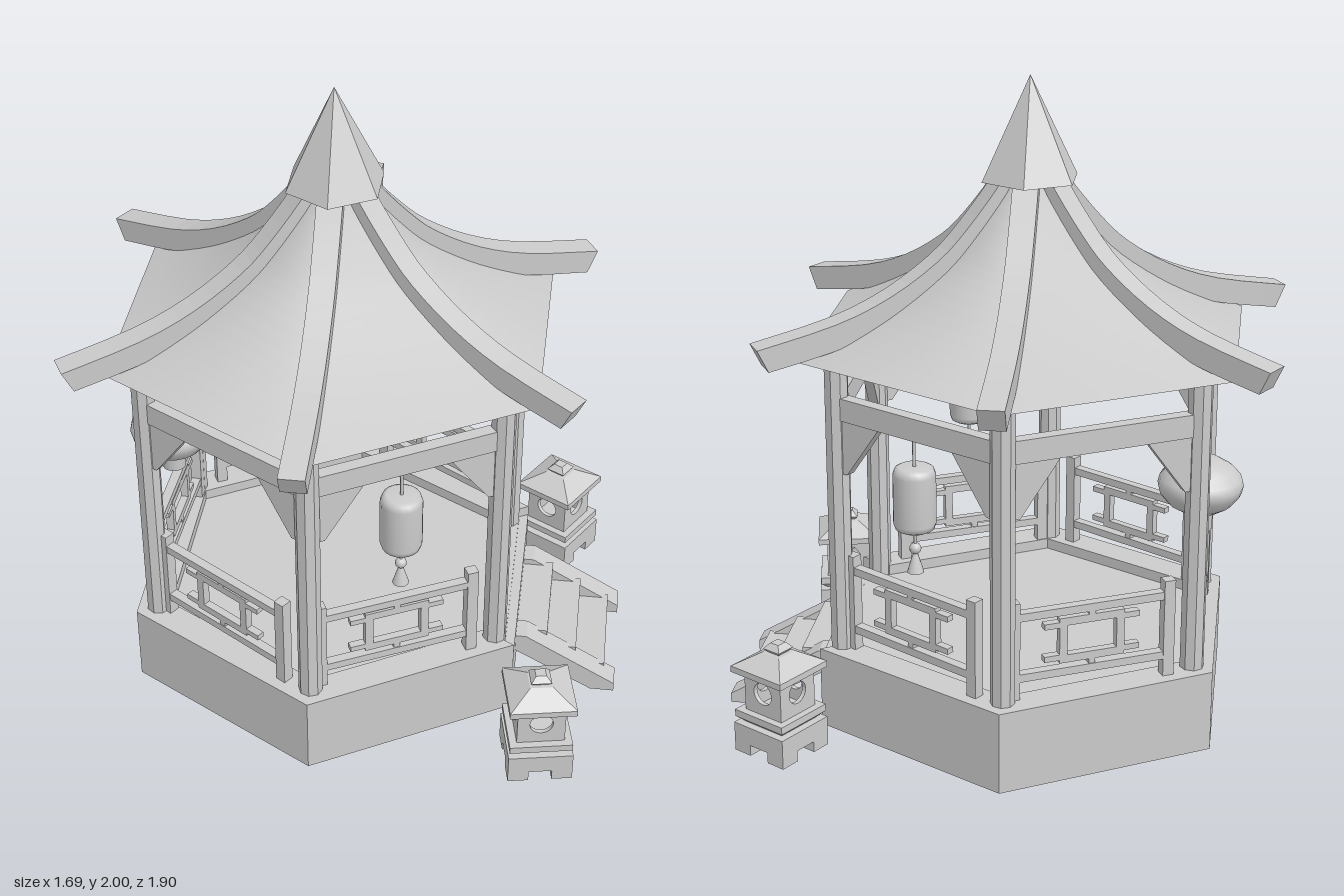
import * as THREE from 'three';

const grey = new THREE.MeshStandardMaterial({ color: 0xcccccc, side: THREE.DoubleSide });
const flat = new THREE.MeshStandardMaterial({ color: 0xcccccc, side: THREE.DoubleSide, flatShading: true });
const DEG = Math.PI / 180, POST_R = 0.62, BASE_R = 0.695, APO = Math.cos(Math.PI / 6);

function add(parent, name, geometry, x = 0, y = 0, z = 0, material = flat) {
  const m = new THREE.Mesh(geometry, material);
  m.name = name;
  m.position.set(x, y, z);
  parent.add(m);
  return m;
}
function group(parent, name, rotY = 0) {
  const g = new THREE.Group();
  g.name = name;
  g.rotation.y = rotY * DEG;
  parent.add(g);
  return g;
}
// Box given by its width, bottom, top and depth
function bar(parent, name, x, y0, y1, z, w, d) {
  return add(parent, name, new THREE.BoxGeometry(w, y1 - y0, d), x, (y0 + y1) / 2, z);
}
const vec = pts => pts.map(p => new THREE.Vector2(p[0], p[1]));
const curve = (pts, n) => new THREE.SplineCurve(vec(pts)).getPoints(n);
// Plate cut from an outline, centred on its thickness
function plate(pts, depth) {
  const shape = pts instanceof THREE.Shape ? pts : new THREE.Shape(vec(pts));
  return new THREE.ExtrudeGeometry(shape, { depth, bevelEnabled: false, curveSegments: 10 }).translate(0, 0, -depth / 2);
}
const lathe = (pts, n = 20) => new THREE.LatheGeometry(vec(pts), n);

// One side of the hexagonal base, mitred at its ends
function baseSide(parent, name, inner, outer, y0, y1) {
  const t = Math.tan(Math.PI / 6);
  const g = plate([[-outer * t, outer], [-inner * t, inner], [inner * t, inner], [outer * t, outer]], y1 - y0);
  add(parent, name, g.rotateX(Math.PI / 2), 0, (y0 + y1) / 2, 0);
}

function railing(parent) {
  const r = group(parent, 'railing', -3);
  const z = POST_R * APO, d = 0.025;
  for (const s of [-1, 1]) {
    bar(r, 'newel', s * 0.245, 0.26, 0.58, z, 0.035, 0.035);
    bar(r, 'frameSide', s * 0.09, 0.365, 0.51, z, 0.025, d);
    for (const y of [0.375, 0.48]) bar(r, 'frameStub', s * 0.125, y, y + 0.018, z, 0.05, d);
  }
  bar(r, 'topRail', 0, 0.52, 0.545, z, 0.52, 0.03);
  bar(r, 'bottomRail', 0, 0.325, 0.35, z, 0.52, 0.03);
  bar(r, 'frameTop', 0, 0.485, 0.51, z, 0.2, d);
  bar(r, 'frameBottom', 0, 0.365, 0.39, z, 0.2, d);
  bar(r, 'upperStrut', 0, 0.505, 0.525, z, 0.02, d);
  bar(r, 'lowerStrut', 0, 0.345, 0.37, z, 0.02, d);
}

function hangingLantern(parent, round) {
  const l = group(parent, round ? 'roundLantern' : 'tubeLantern', -1.5);
  const z = POST_R * APO;
  const cord = (y0, y1) => add(l, 'cord', new THREE.CylinderGeometry(0.005, 0.005, y1 - y0, 6), 0, (y0 + y1) / 2, z, grey);
  if (round) {
    add(l, 'lanternBody', lathe([[0, 0.655], [0.06, 0.66], [0.1, 0.685], [0.127, 0.72], [0.133, 0.745], [0.127, 0.77],
      [0.1, 0.8], [0.06, 0.825], [0, 0.83]]), 0, 0, z, grey);
    add(l, 'lanternNeck', new THREE.CylinderGeometry(0.042, 0.038, 0.07, 16), 0, 0.63, z, grey);
    cord(0.82, 1.03);
  } else {
    add(l, 'lanternBody', lathe([[0, 0.735], [0.045, 0.735], [0.058, 0.742], [0.064, 0.76], [0.064, 0.91],
      [0.058, 0.928], [0.045, 0.935], [0, 0.935]]), 0, 0, z, grey);
    add(l, 'bead', new THREE.SphereGeometry(0.018, 10, 8), 0, 0.675, z, grey);
    add(l, 'tassel', new THREE.CylinderGeometry(0.007, 0.026, 0.06, 10), 0, 0.63, z, grey);
    cord(0.93, 1.03);
    cord(0.65, 0.74);
  }
}

function stoneLantern(parent, x, z, rotY) {
  const l = group(parent, 'stoneLantern', rotY);
  l.position.set(x, 0, z);
  // Square frustum by half-widths
  const frustum = (name, bottom, top, y0, y1) => add(l, name, new THREE.CylinderGeometry(top * Math.SQRT2,
    bottom * Math.SQRT2, y1 - y0, 4).rotateY(Math.PI / 4), 0, (y0 + y1) / 2, 0);
  for (const sx of [-1, 1]) for (const sz of [-1, 1]) bar(l, 'foot', sx * 0.068, 0, 0.036, sz * 0.068, 0.064, 0.064);
  bar(l, 'base', 0, 0.035, 0.095, 0, 0.2, 0.2);
  frustum('plateUnderside', 0.075, 0.097, 0.095, 0.115);
  bar(l, 'plate', 0, 0.115, 0.138, 0, 0.194, 0.194);
  // Light chamber: four walls, each with a round window
  const wall = new THREE.Shape(vec([[-0.074, 0.135], [0.074, 0.135], [0.074, 0.275], [-0.074, 0.275]]));
  wall.holes.push(new THREE.Path().absarc(0, 0.21, 0.036, 0, Math.PI * 2, true));
  const wallGeometry = plate(wall, 0.014).translate(0, 0, 0.067);
  for (let i = 0; i < 4; i++) add(l, 'chamberWall', wallGeometry).rotation.y = i * Math.PI / 2;
  bar(l, 'eave', 0, 0.265, 0.285, 0, 0.205, 0.205);
  frustum('lanternRoof', 0.102, 0.035, 0.285, 0.325);
  frustum('finialLower', 0.022, 0.032, 0.325, 0.337);
  frustum('finialUpper', 0.032, 0.016, 0.337, 0.355);
}

function stairs(parent) {
  const s = group(parent, 'stairs');
  const outline = [[0.6, 0.2], [0.635, 0.2], [0.925, 0.03], [0.925, 0], [0.85, 0], [0.6, 0.14]];
  for (const side of [-1, 1]) {
    add(s, 'stringer', plate(outline, 0.075), side * 0.19).rotation.y = -Math.PI / 2;
  }
  for (let i = 0; i < 3; i++) {
    const top = 0.18 - i * 0.06;
    bar(s, 'tread', 0, top - 0.055, top, 0.65 + i * 0.095, 0.34, 0.1);
  }
}

export function createModel() {
  const model = new THREE.Group();
  model.name = 'gardenPavilion';
  const pavilion = group(model, 'pavilion', 3.5);
  pavilion.position.set(-0.053, 0, -0.083);

  // Floor
  add(pavilion, 'floor', new THREE.CylinderGeometry(0.66, 0.66, 0.02, 6), 0, 0.225, 0);

  // Six sides; the first is the entrance
  const wallOut = BASE_R * APO;
  const bracket = [[0.285, 1.03], [0.13, 1.03], [0.262, 0.85], [0.285, 0.85]];
  for (let i = 0; i < 6; i++) {
    const side = group(pavilion, i ? 'side' : 'entranceSide', 30 + 60 * i);
    baseSide(side, 'baseWall', wallOut - 0.03, wallOut, 0.01, 0.235);
    if (i) {
      baseSide(side, 'baseRim', wallOut - 0.1, wallOut, 0.235, 0.27);
      railing(side);
    }
    const z = POST_R * APO;
    bar(side, 'lintel', 0, 1.02, 1.09, z, 0.6, 0.04);
    bar(side, 'topBeam', 0, 1.19, 1.23, z, 0.62, 0.04);
    for (const s of [-1, 1]) {
      add(side, 'bracket', plate(bracket.map(p => [p[0] * s, p[1]]), 0.03), 0, 0, z);
    }
    if (i === 0) stairs(side);
    if (i === 1 || i === 5) hangingLantern(side, false);
    if (i === 3) hangingLantern(side, true);
  }

  // Posts and curved roof ribs at the corners
  const ribTop = curve([[0.07, 1.76], [0.12, 1.68], [0.22, 1.56], [0.31, 1.475], [0.455, 1.385], [0.625, 1.32], [0.868, 1.27]], 18);
  const ribBottom = curve([[0.835, 1.2], [0.61, 1.245], [0.43, 1.315], [0.27, 1.415], [0.17, 1.52], [0.07, 1.64]], 18);
  const ribGeometry = plate(new THREE.Shape([...ribTop, ...ribBottom]), 0.077).rotateY(-Math.PI / 2);
  for (let i = 0; i < 6; i++) {
    const corner = group(pavilion, 'corner', 60 * i);
    add(corner, 'post', new THREE.CylinderGeometry(0.037, 0.037, 1.22, 8), 0, 0.61, POST_R);
    add(corner, 'roofRib', ribGeometry);
  }

  // Sweeping roof and its peak
  const roofCurve = curve([[0.735, 1.205], [0.6, 1.26], [0.455, 1.335], [0.31, 1.435], [0.22, 1.525], [0.12, 1.65], [0.08, 1.72]], 20);
  add(pavilion, 'roof', new THREE.LatheGeometry(roofCurve, 6), 0, 0, 0, grey);
  add(pavilion, 'roofPeak', new THREE.ConeGeometry(0.155, 0.31, 6), 0, 1.845, 0);

  // Stone lanterns beside the steps
  stoneLantern(model, -0.13, 0.8, 45);
  stoneLantern(model, 0.74, 0.23, 3);
  return model;
}
